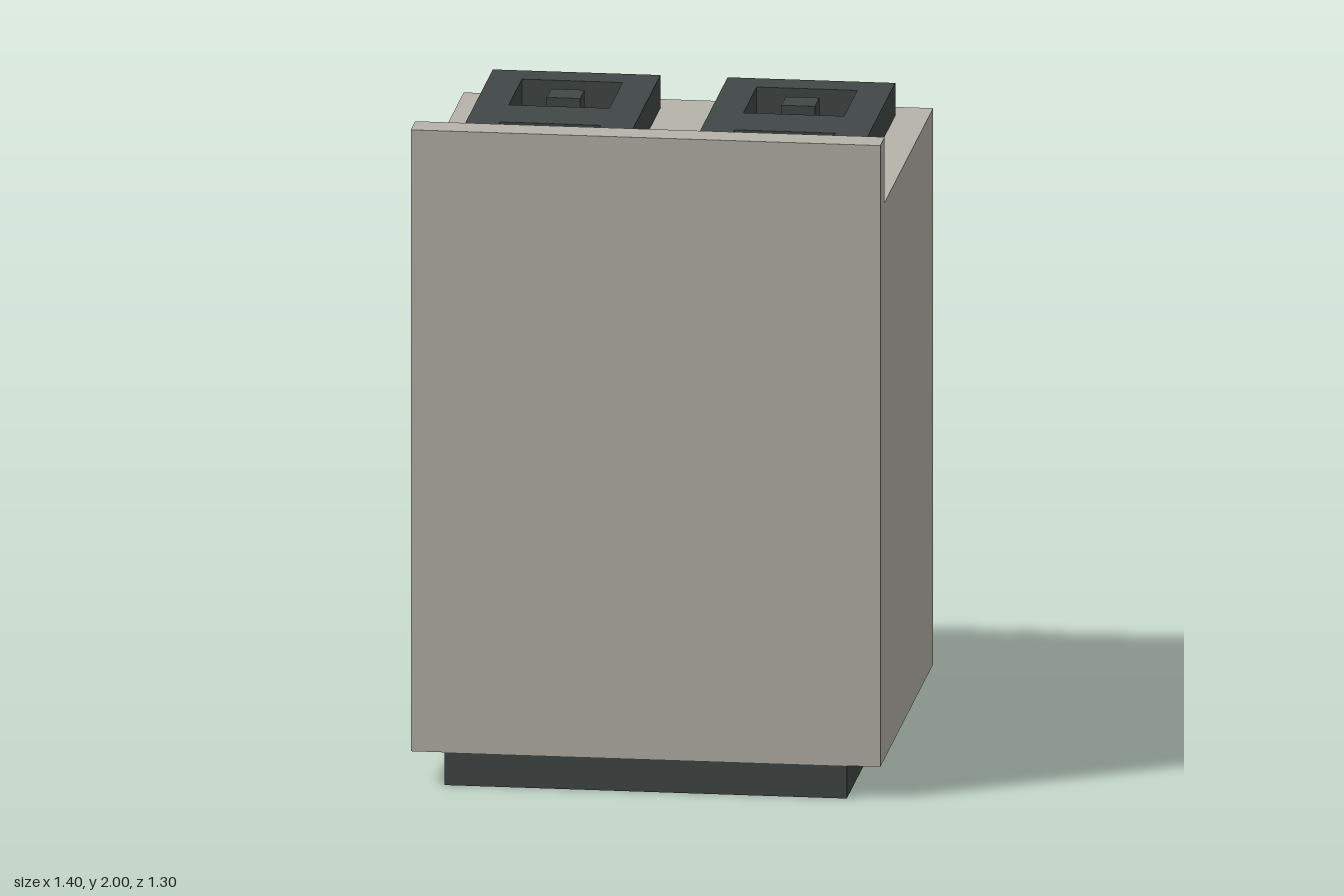
import * as THREE from 'three';

const enamel = new THREE.MeshStandardMaterial({ color: 0xb6b3a9 });
enamel.name = 'warm grey enamel';
const iron = new THREE.MeshStandardMaterial({ color: 0x414846 });
iron.name = 'dark iron';
const hot = new THREE.MeshStandardMaterial({ color: 0x5e4233 });
hot.name = 'heated plate';

// Box given by its min and max corners
function box(name, material, [x0, y0, z0], [x1, y1, z1]) {
  const mesh = new THREE.Mesh(new THREE.BoxGeometry(x1 - x0, y1 - y0, z1 - z0), material);
  mesh.position.set((x0 + x1) / 2, (y0 + y1) / 2, (z0 + z1) / 2);
  mesh.name = name;
  return mesh;
}

const rect = (Type, x0, y0, x1, y1) =>
  new Type([[x0, y0], [x1, y0], [x1, y1], [x0, y1]].map(([x, y]) => new THREE.Vector2(x, y)));

export function createModel() {
  const group = new THREE.Group();
  group.name = 'stove';

  // Cabinet with raised splashback: L-shaped side profile extruded across x
  const profile = new THREE.Shape(
    [[-0.65, 0.1], [0.55, 0.1], [0.55, 1.8], [-0.55, 1.8], [-0.55, 2], [-0.65, 2]]
      .map(([z, y]) => new THREE.Vector2(z, y)));
  const cabinetGeometry = new THREE.ExtrudeGeometry(profile, { depth: 1.4, bevelEnabled: false });
  cabinetGeometry.translate(0, 0, -0.7).rotateY(Math.PI / 2);
  const cabinet = new THREE.Mesh(cabinetGeometry, enamel);
  cabinet.name = 'cabinet';
  group.add(cabinet);

  group.add(box('plinth', iron, [-0.6, 0, -0.45], [0.6, 0.1, 0.65]));

  // Hob: two grates, each with two square wells and a burner post in each well
  for (const cx of [-0.35, 0.35]) {
    const shape = rect(THREE.Shape, cx - 0.25, -0.55, cx + 0.25, 0.45);
    for (const cz of [-0.2, 0.3]) {
      shape.holes.push(rect(THREE.Path, cx - 0.15, -cz - 0.15, cx + 0.15, -cz + 0.15));
      group.add(box('burnerPost', iron, [cx - 0.05, 1.8, cz - 0.05], [cx + 0.05, 1.9, cz + 0.05]));
    }
    const geometry = new THREE.ExtrudeGeometry(shape, { depth: 0.1, bevelEnabled: false });
    geometry.rotateX(-Math.PI / 2).translate(0, 1.8, 0);
    const grate = new THREE.Mesh(geometry, iron);
    grate.name = 'grate';
    group.add(grate);
  }
  group.add(box('hotPlate', hot, [-0.5, 1.8, -0.35], [-0.2, 1.804, -0.05]));

  // Control row
  for (const x of [-0.45, -0.25, 0.25, 0.45]) {
    group.add(box('knob', iron, [x - 0.05, 1.5, -0.65], [x + 0.05, 1.6, -0.55]));
  }
  group.add(box('display', iron, [-0.1, 1.5, -0.554], [0.1, 1.6, -0.55]));

  // Oven door and drawer
  group.add(box('ovenHandle', enamel, [-0.5, 1.1, -0.65], [0.5, 1.2, -0.55]));
  group.add(box('ovenWindow', iron, [-0.4, 0.6, -0.554], [0.4, 1, -0.55]));
  group.add(box('drawerHandle', enamel, [-0.2, 0.2, -0.65], [0.2, 0.3, -0.55]));

  return group;
}
